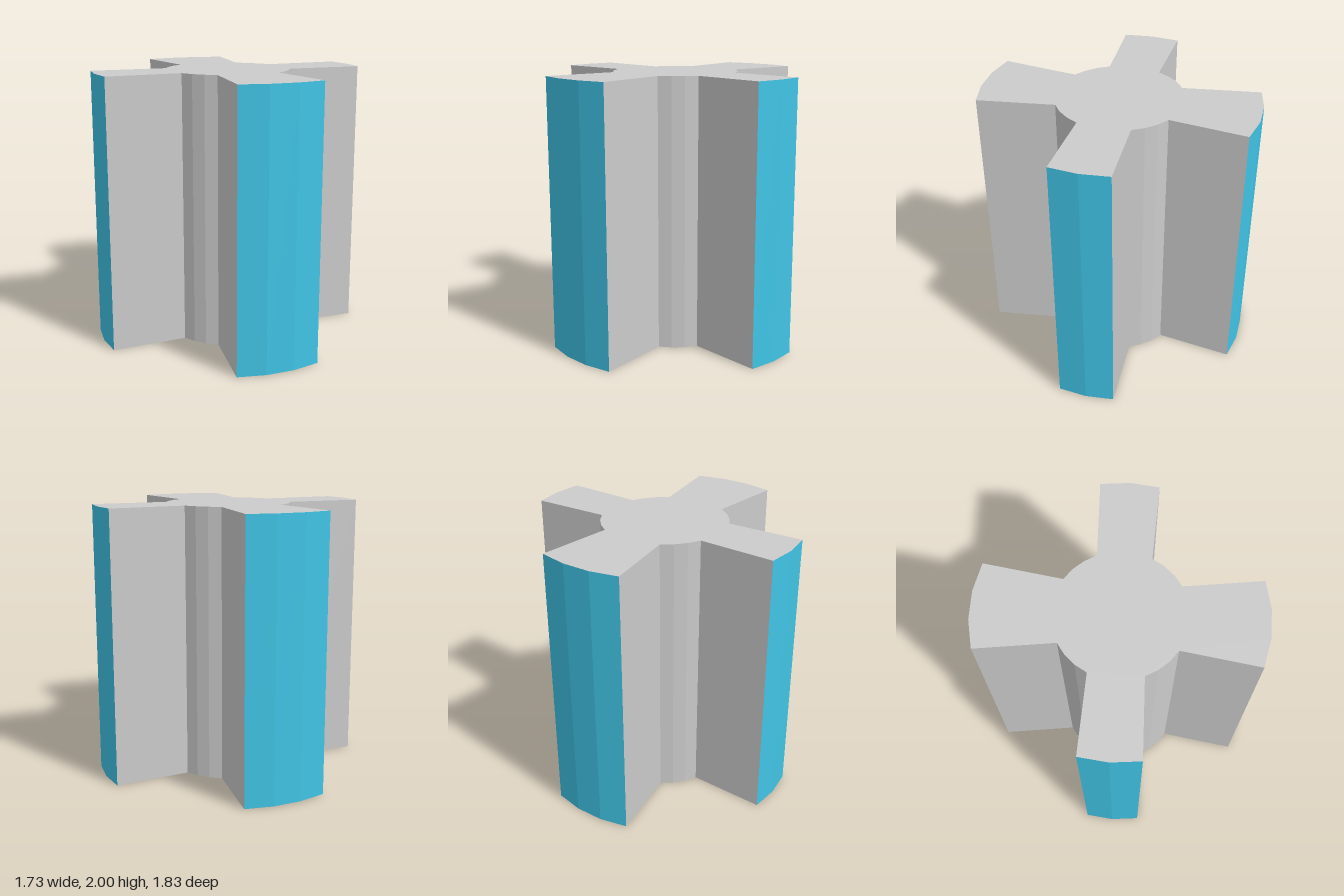
import * as THREE from 'three';

const HEIGHT = 2, HUB_R = 0.46, TIP_R = 1, STEP = 12; // facets span 12 degrees
const rad = THREE.MathUtils.degToRad;

// Each arm in degrees: hub corner, tip start, tip end, hub corner
const half = [[18, 30, 66, 78], [114, 126, 150, 162]];
const arms = [...half, ...half.map(arm => arm.map(a => a + 180))];

const at = (r, deg) => new THREE.Vector2(r * Math.cos(rad(deg)), r * Math.sin(rad(deg)));

function arcPoints(r, a0, a1) {
  const pts = [];
  for (let a = a0; a <= a1; a += STEP) pts.push(at(r, a));
  return pts;
}

// Upright faceted wall along an arc
function arcWall(r, a0, a1) {
  const g = new THREE.CylinderGeometry(r, r, HEIGHT, (a1 - a0) / STEP, 1, true, rad(90 - a1), rad(a1 - a0));
  return g.translate(0, HEIGHT / 2, 0);
}

// Upright flat wall from p to q (x, z), facing outward for rising angle
function flatWall(p, q) {
  const g = new THREE.BufferGeometry();
  g.setAttribute('position', new THREE.Float32BufferAttribute(
    [p.x, 0, p.y, p.x, HEIGHT, p.y, q.x, HEIGHT, q.y, q.x, 0, q.y], 3));
  g.setIndex([0, 1, 3, 1, 2, 3]);
  g.computeVertexNormals();
  return g;
}

export function createModel() {
  const group = new THREE.Group();
  const grey = new THREE.MeshStandardMaterial({ color: 0xcccccc, flatShading: true });
  const blue = new THREE.MeshStandardMaterial({ color: 0x40c4e5, flatShading: true });
  const add = (name, geometry, material) => {
    const mesh = new THREE.Mesh(geometry, material);
    mesh.name = name;
    group.add(mesh);
  };

  const outline = [];
  arms.forEach(([h0, t0, t1, h1], i) => {
    const next = arms[(i + 1) % 4][0] + (i === 3 ? 360 : 0);
    // Arm: two flanks and a coloured tip
    add('armFlank', flatWall(at(HUB_R, h0), at(TIP_R, t0)), grey);
    add('armFlank', flatWall(at(TIP_R, t1), at(HUB_R, h1)), grey);
    add('armTip', arcWall(TIP_R, t0, t1), blue);
    // Hub surface up to the next arm
    add('hubWall', arcWall(HUB_R, h1, next), grey);
    outline.push(...arcPoints(TIP_R, t0, t1), ...arcPoints(HUB_R, h1, next));
  });

  // Flat end faces
  const bottom = new THREE.ShapeGeometry(new THREE.Shape(outline));
  add('bottomFace', bottom.rotateX(Math.PI / 2), grey);
  const mirrored = outline.map(p => new THREE.Vector2(p.x, -p.y));
  const top = new THREE.ShapeGeometry(new THREE.Shape(mirrored));
  add('topFace', top.rotateX(-Math.PI / 2).translate(0, HEIGHT, 0), grey);

  return group;
}
